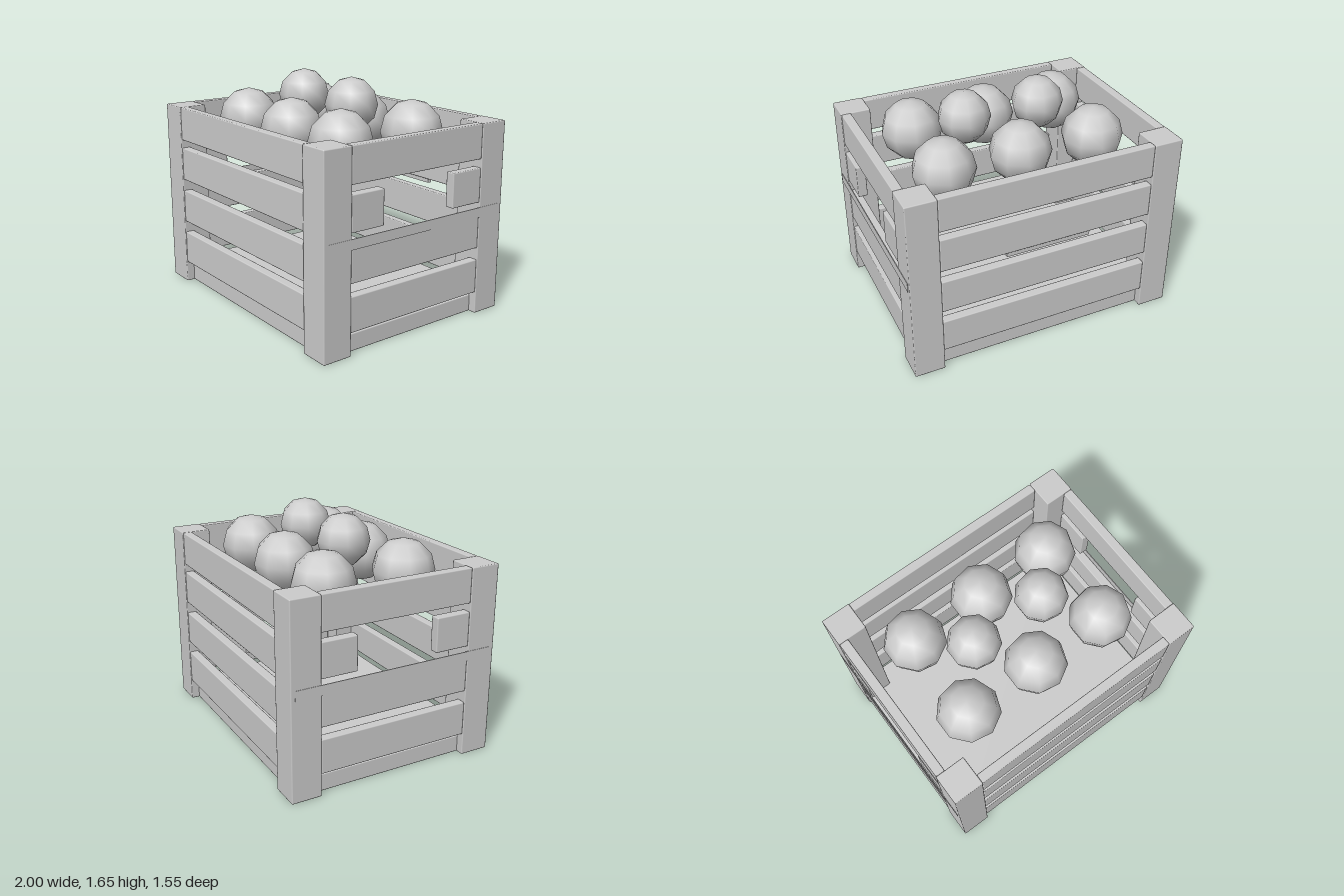
import * as THREE from 'three';
import { RoundedBoxGeometry } from 'three/addons/geometries/RoundedBoxGeometry.js';

export function createModel() {
  const crate = new THREE.Group();
  crate.name = 'fruitCrate';
  const grey = new THREE.MeshStandardMaterial({ color: 0xcccccc });
  grey.name = 'plain grey';

  // Board with slightly eased edges, given by its limits on each axis
  function board(name, [x0, x1], [y0, y1], [z0, z1]) {
    const w = x1 - x0, h = y1 - y0, d = z1 - z0;
    const mesh = new THREE.Mesh(new RoundedBoxGeometry(w, h, d, 1, 0.008), grey);
    mesh.position.set((x0 + x1) / 2, (y0 + y1) / 2, (z0 + z1) / 2);
    mesh.name = name;
    crate.add(mesh);
  }
  // Limits mirrored to the negative side when s is -1
  const side = (s, a, b) => (s > 0 ? [a, b] : [-b, -a]);

  // Floor
  board('floor', [-0.94, 0.94], [0, 0.125], [-0.715, 0.715]);

  // Corner posts
  for (const sx of [-1, 1])
    for (const sz of [-1, 1])
      board('cornerPost', side(sx, 0.78, 0.997), [0, 1.37], side(sz, 0.56, 0.775));

  // Slats on all four walls, with a hand hole in the end walls
  const rows = [[0.16, 0.405], [0.49, 0.735], [0.82, 1.065], [1.125, 1.37]];
  rows.forEach((y, i) => {
    for (const s of [-1, 1]) {
      board('longSlat', [-0.78, 0.78], y, side(s, 0.705, 0.772));
      if (i === 2) {
        for (const sz of [-1, 1])
          board('handleSlat', side(s, 0.925, 0.994), y, side(sz, 0.3, 0.56));
      } else {
        board('endSlat', side(s, 0.925, 0.994), y, [-0.56, 0.56]);
      }
    }
  });

  // Thin strips across the end walls
  for (const s of [-1, 1]) {
    const strip = new THREE.Mesh(new THREE.BoxGeometry(0.006, 0.07, 1.49), grey);
    strip.position.set(s * 0.997, 0.75, 0);
    strip.name = 'endStrip';
    crate.add(strip);
  }

  // Small plate set into the back wall
  const plate = new THREE.Mesh(new THREE.BoxGeometry(0.62, 0.2, 0.03), grey);
  plate.position.set(0, 0.885, -0.745);
  plate.name = 'backPlate';
  crate.add(plate);

  // Round fruit: two rows of three, and two smaller ones on top
  function fruit(name, r, x, y, z) {
    const mesh = new THREE.Mesh(new THREE.SphereGeometry(r, 9, 6), grey);
    mesh.rotation.y = Math.PI;
    mesh.position.set(x, y, z);
    mesh.name = name;
    crate.add(mesh);
  }
  for (const z of [-0.31, 0.31])
    for (const x of [-0.56, 0, 0.56]) fruit('fruit', 0.221, x, 1.283, z);
  for (const x of [-0.28, 0.28]) fruit('topFruit', 0.187, x, 1.465, 0);

  return crate;
}
